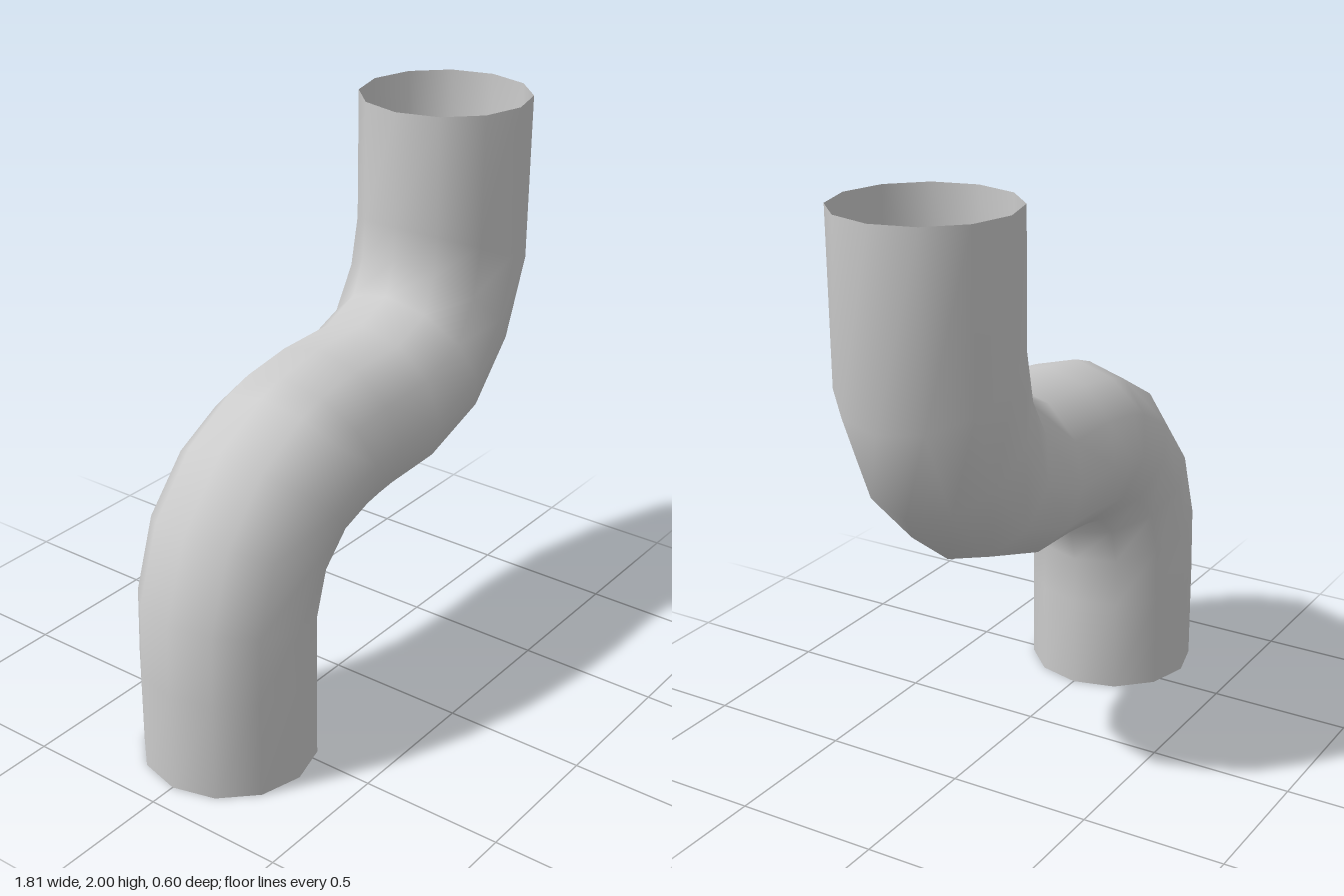
import * as THREE from 'three';

// Each section: the two silhouette points [x1, y1, x2, y2] of a ring across the pipe
const SECTIONS = [
  [-0.905, 0, -0.315, 0],
  [-0.905, 0.36, -0.315, 0.33],
  [-0.895, 0.62, -0.315, 0.5],
  [-0.8, 0.9, -0.28, 0.62],
  [-0.62, 1.11, -0.2, 0.69],
  [-0.41, 1.23, -0.11, 0.705],
  [-0.31, 1.265, -0.06, 0.708],
  [-0.11, 1.295, 0.0, 0.713],
  [0.13, 1.3, 0.21, 0.72],
  [0.27, 1.36, 0.52, 0.82],
  [0.31, 1.48, 0.75, 1.04],
  [0.31, 1.6, 0.895, 1.36],
  [0.31, 2, 0.905, 2],
];
const SIDES = 12;
const RADIUS = 0.3;

// Skins the rings into one smooth, open-ended tube
function pipeGeometry() {
  const positions = [];
  const indices = [];
  SECTIONS.forEach(([x1, y1, x2, y2], i) => {
    for (let j = 0; j < SIDES; j++) {
      const a = (j / SIDES) * Math.PI * 2;
      const c = Math.cos(a) / 2;
      positions.push(
        (x1 + x2) / 2 + (x1 - x2) * c,
        (y1 + y2) / 2 + (y1 - y2) * c,
        RADIUS * Math.sin(a),
      );
      if (i === 0) continue;
      const k = (j + 1) % SIDES;
      const lower = (i - 1) * SIDES;
      const upper = i * SIDES;
      indices.push(lower + j, lower + k, upper + k, lower + j, upper + k, upper + j);
    }
  });
  const geometry = new THREE.BufferGeometry();
  geometry.setAttribute('position', new THREE.Float32BufferAttribute(positions, 3));
  geometry.setIndex(indices);
  geometry.computeVertexNormals();
  return geometry;
}

export function createModel() {
  const group = new THREE.Group();
  group.name = 'offsetPipe';
  const material = new THREE.MeshStandardMaterial({ color: 0xcccccc, side: THREE.DoubleSide });
  const pipe = new THREE.Mesh(pipeGeometry(), material);
  pipe.name = 'pipeWall';
  group.add(pipe);
  return group;
}
